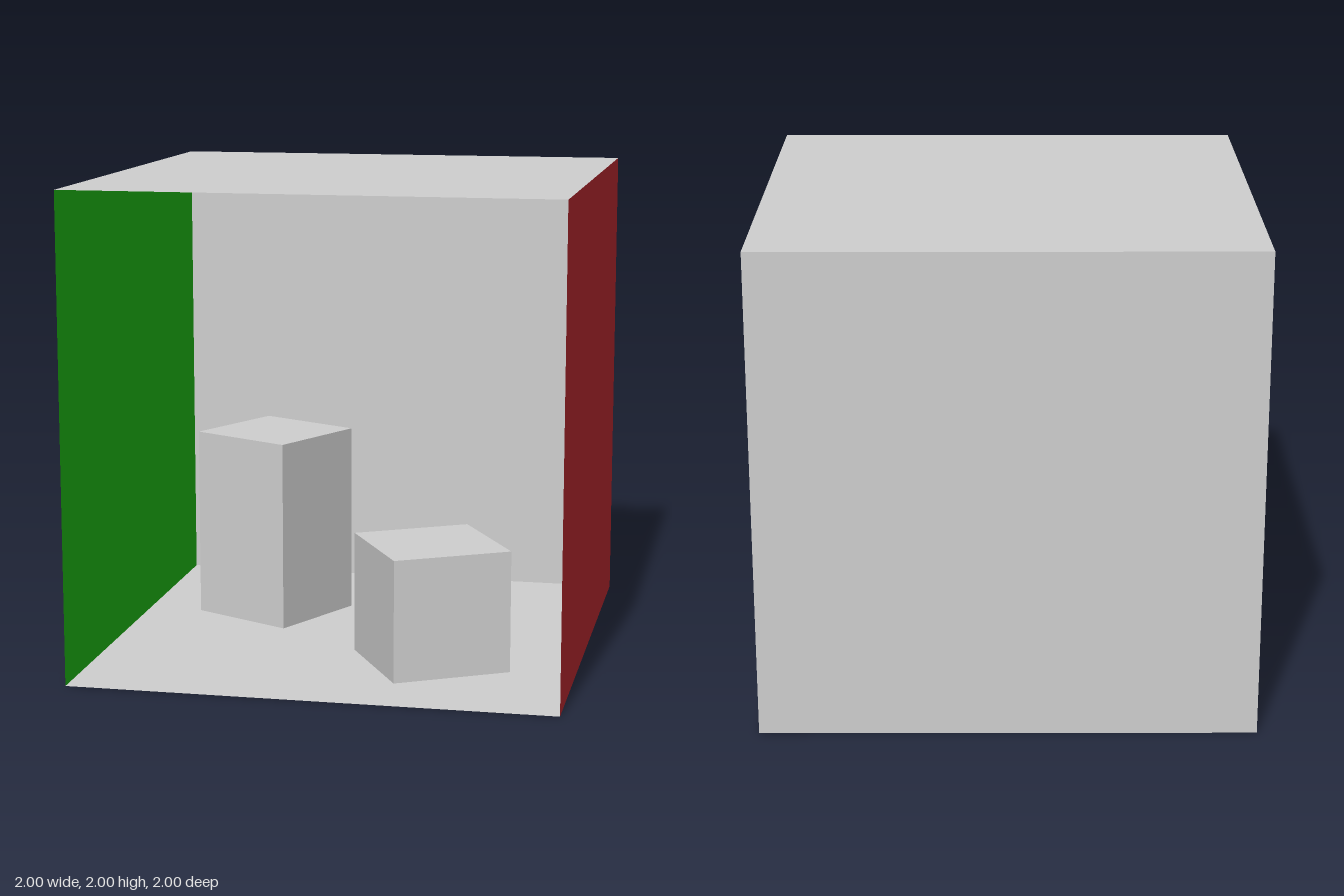
import * as THREE from 'three';

const material = (name, color) => {
  const m = new THREE.MeshStandardMaterial({ color, side: THREE.DoubleSide });
  m.name = name;
  return m;
};

export function createModel() {
  const room = new THREE.Group();
  room.name = 'openRoom';
  const grey = material('grey', 0xd0d0d0);
  const red = material('red', 0xd02e37);
  const green = material('green', 0x23d018);

  // Thin room panels, each 2 x 2, facing inward
  const panel = new THREE.PlaneGeometry(2, 2);
  const addPanel = (name, mat, position, rx, ry) => {
    const mesh = new THREE.Mesh(panel, mat);
    mesh.name = name;
    mesh.position.set(...position);
    mesh.rotation.set(rx, ry, 0);
    room.add(mesh);
  };
  const q = Math.PI / 2;
  addPanel('floor', grey, [0, 0, 0], -q, 0);
  addPanel('ceiling', grey, [0, 2, 0], q, 0);
  addPanel('backWall', grey, [0, 1, -1], 0, 0);
  addPanel('leftWall', red, [1, 1, 0], 0, -q);
  addPanel('rightWall', green, [-1, 1, 0], 0, q);

  // Turned blocks standing on the floor
  const addBlock = (name, width, height, depth, x, z, turn) => {
    const mesh = new THREE.Mesh(new THREE.BoxGeometry(width, height, depth), grey);
    mesh.name = name;
    mesh.position.set(x, height / 2, z);
    mesh.rotation.y = turn;
    room.add(mesh);
  };
  addBlock('tallBlock', 0.485, 0.82, 0.48, -0.44, -0.32, -0.468);
  addBlock('shortBlock', 0.506, 0.51, 0.506, 0.385, 0.36, 0.517);

  return room;
}
